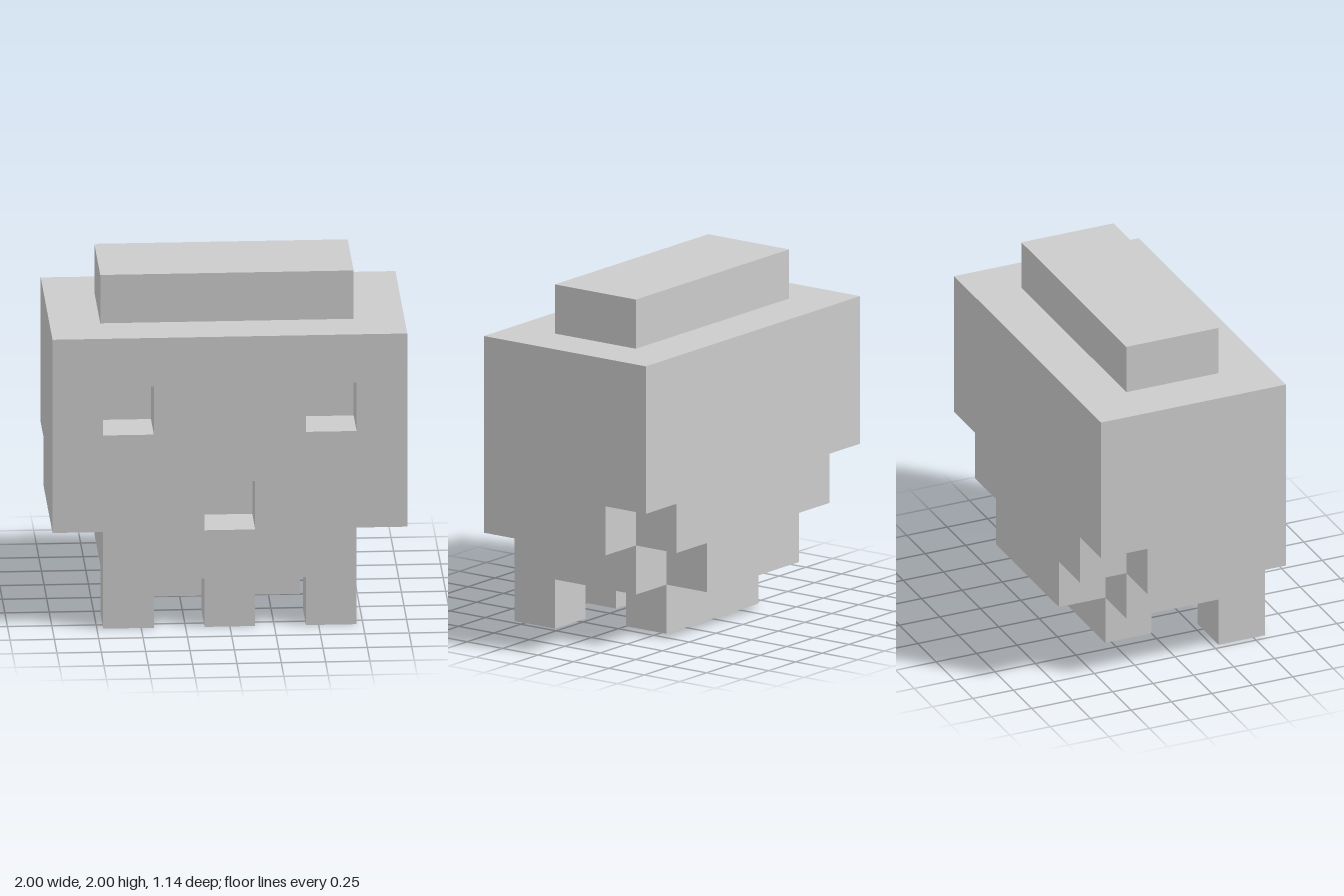
import * as THREE from 'three';

const U = 2 / 7; // edge length of one block

// Closed shape from its +x half outline (bottom to top, in blocks), mirrored to -x
function mirroredShape(half) {
  const other = half.map(([x, y]) => [-x, y]).reverse();
  return new THREE.Shape([...half, ...other].map(([x, y]) => new THREE.Vector2(x * U, y * U)));
}

// One-block square hole centred on x, with its lower edge at y
function squareHole(x, y) {
  const corners = [[-0.5, 0], [-0.5, 1], [0.5, 1], [0.5, 0]];
  return new THREE.Path(corners.map(([dx, dy]) => new THREE.Vector2((x + dx) * U, (y + dy) * U)));
}

export function createModel() {
  const group = new THREE.Group();
  const bone = new THREE.MeshStandardMaterial({ color: 0xcccccc });
  bone.name = 'bone grey';

  const add = (name, geometry) => {
    const mesh = new THREE.Mesh(geometry, bone);
    mesh.name = name;
    group.add(mesh);
    return mesh;
  };
  const slab = (name, shape, z, depth) => {
    const geometry = new THREE.ExtrudeGeometry(shape, { depth: depth * U, bevelEnabled: false });
    add(name, geometry).position.z = z * U;
  };
  const block = (name, w, h, d, y, z) => {
    add(name, new THREE.BoxGeometry(w * U, h * U, d * U)).position.set(0, y * U, z * U);
  };

  // Face with three teeth, two eye sockets and a nose hole
  const face = mirroredShape([
    [0.5, 0], [0.5, 1], [1.5, 1], [1.5, 0], [2.5, 0], [2.5, 2], [3.5, 2], [3.5, 6],
  ]);
  face.holes.push(squareHole(-2, 4), squareHole(2, 4), squareHole(0, 2));
  slab('face', face, 1, 1);

  // Solid core behind the face
  slab('skullCore', mirroredShape([[2.5, 1], [2.5, 2], [3.5, 2], [3.5, 6]]), -1, 2);

  // Back of the head with stepped lower corners
  slab('backOfHead', mirroredShape([
    [1.5, 1], [1.5, 2], [2.5, 2], [2.5, 3], [3.5, 3], [3.5, 6],
  ]), -2, 1);

  // Raised crown on top and ridge under the head
  block('crown', 5, 1, 2, 6.5, 0);
  block('neckRidge', 3, 1, 1, 0.5, -0.5);

  return group;
}
